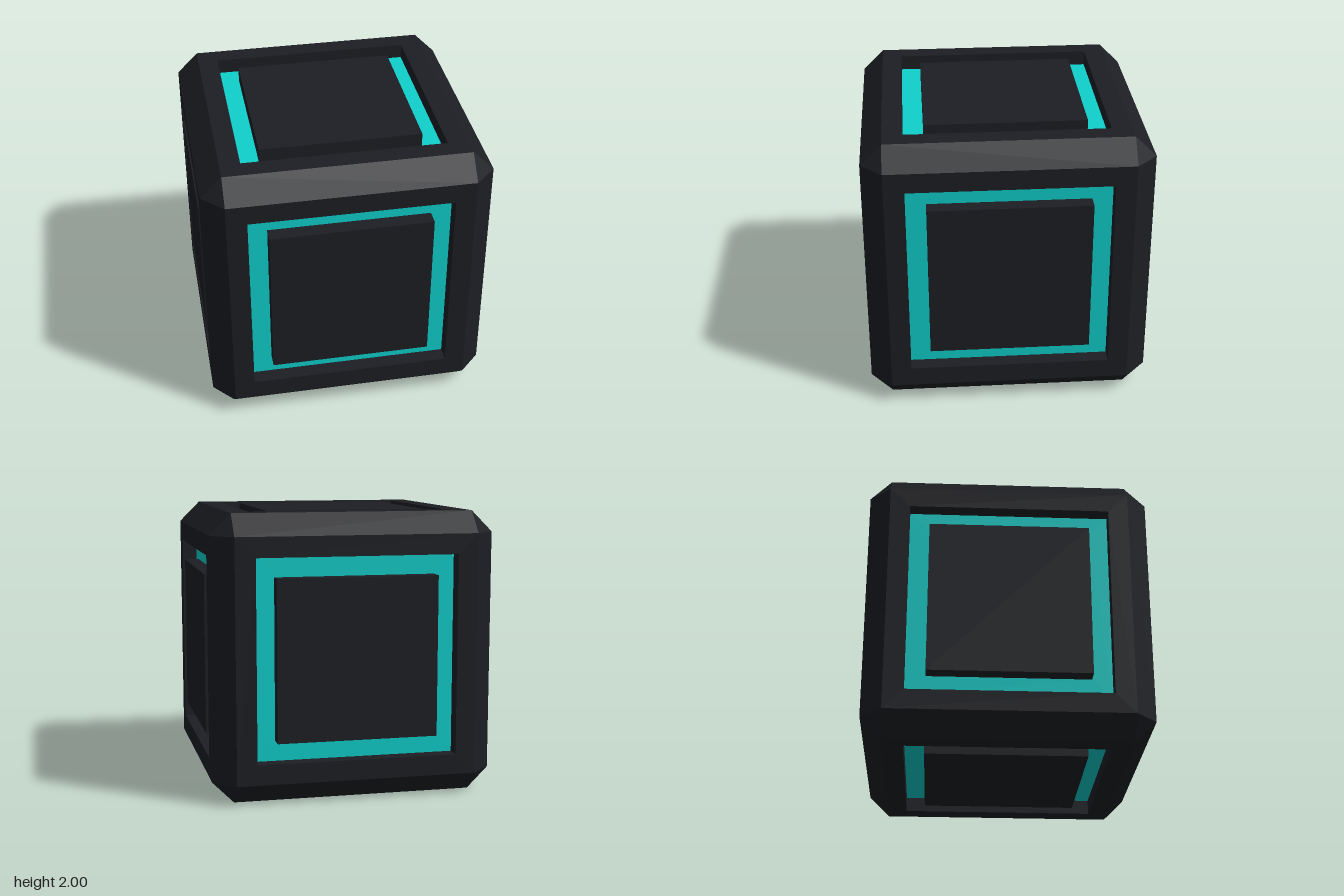
import * as THREE from 'three';

const HALF = 1;        // half width of the cube
const FLAT = 0.85;     // half width of each flat face inside the chamfer
const OUTER = 0.708;   // half width of the recess
const INNER = 0.566;   // half width of the raised panel
const DEPTH = 0.106;   // depth of the recess

const dark = new THREE.MeshStandardMaterial({ color: 0x1c1e23, flatShading: true });
const glow = new THREE.MeshStandardMaterial({ color: 0x0fd0cc, flatShading: true });

// Square outline, optionally with a square hole
function squareFrame(outer, inner) {
  const corners = (r) => [[-r, -r], [r, -r], [r, r], [-r, r]].map(([x, y]) => new THREE.Vector2(x, y));
  const shape = new THREE.Shape(corners(outer));
  shape.holes.push(new THREE.Path(corners(inner).reverse()));
  return shape;
}

function addMesh(parent, name, geometry, material, z = 0) {
  const mesh = new THREE.Mesh(geometry, material);
  mesh.name = name;
  mesh.position.z = z;
  parent.add(mesh);
}

// Chamfered strips along the 12 edges and triangles on the 8 corners
function bevelGeometry() {
  const positions = [];
  const addTriangle = (a, b, c) => {
    const normal = b.clone().sub(a).cross(c.clone().sub(a));
    const order = normal.dot(a) > 0 ? [a, b, c] : [a, c, b]; // face outward
    order.forEach((p) => positions.push(p.x, p.y, p.z));
  };
  // Point lying on the face of the given axis, next to the corner with these signs
  const corner = (signs, axis) =>
    new THREE.Vector3(...signs.map((s, i) => s * (i === axis ? HALF : FLAT)));

  for (let axis = 0; axis < 3; axis++) {
    const b = (axis + 1) % 3, c = (axis + 2) % 3;
    for (const sb of [-1, 1]) for (const sc of [-1, 1]) {
      const low = [], high = [];
      low[axis] = -1; high[axis] = 1;
      low[b] = high[b] = sb;
      low[c] = high[c] = sc;
      addTriangle(corner(low, b), corner(high, b), corner(high, c));
      addTriangle(corner(low, b), corner(high, c), corner(low, c));
    }
  }
  for (const x of [-1, 1]) for (const y of [-1, 1]) for (const z of [-1, 1]) {
    addTriangle(...[0, 1, 2].map((axis) => corner([x, y, z], axis)));
  }
  const geometry = new THREE.BufferGeometry();
  geometry.setAttribute('position', new THREE.Float32BufferAttribute(positions, 3));
  geometry.computeVertexNormals();
  return geometry;
}

export function createModel() {
  const model = new THREE.Group();
  model.name = 'chamferedCube';
  const body = new THREE.Group();
  body.name = 'body';
  body.position.y = HALF;
  model.add(body);

  addMesh(body, 'chamferedEdges', bevelGeometry(), dark);

  // One side: frame with recess walls, glowing recess floor, flush panel
  const frame = new THREE.ExtrudeGeometry(squareFrame(FLAT, OUTER), { depth: DEPTH, bevelEnabled: false });
  const ring = new THREE.ShapeGeometry(squareFrame(OUTER, INNER));
  const panel = new THREE.BoxGeometry(2 * INNER, 2 * INNER, DEPTH);
  const sides = {
    front: [0, 0], left: [0, Math.PI / 2], back: [0, Math.PI], right: [0, -Math.PI / 2],
    top: [-Math.PI / 2, 0], bottom: [Math.PI / 2, 0],
  };
  for (const [name, [rx, ry]] of Object.entries(sides)) {
    const side = new THREE.Group();
    side.name = name + 'Side';
    side.rotation.set(rx, ry, 0);
    addMesh(side, name + 'Frame', frame, dark, HALF - DEPTH);
    addMesh(side, name + 'GlowRing', ring, glow, HALF - DEPTH);
    addMesh(side, name + 'Panel', panel, dark, HALF - DEPTH / 2);
    body.add(side);
  }
  return model;
}
